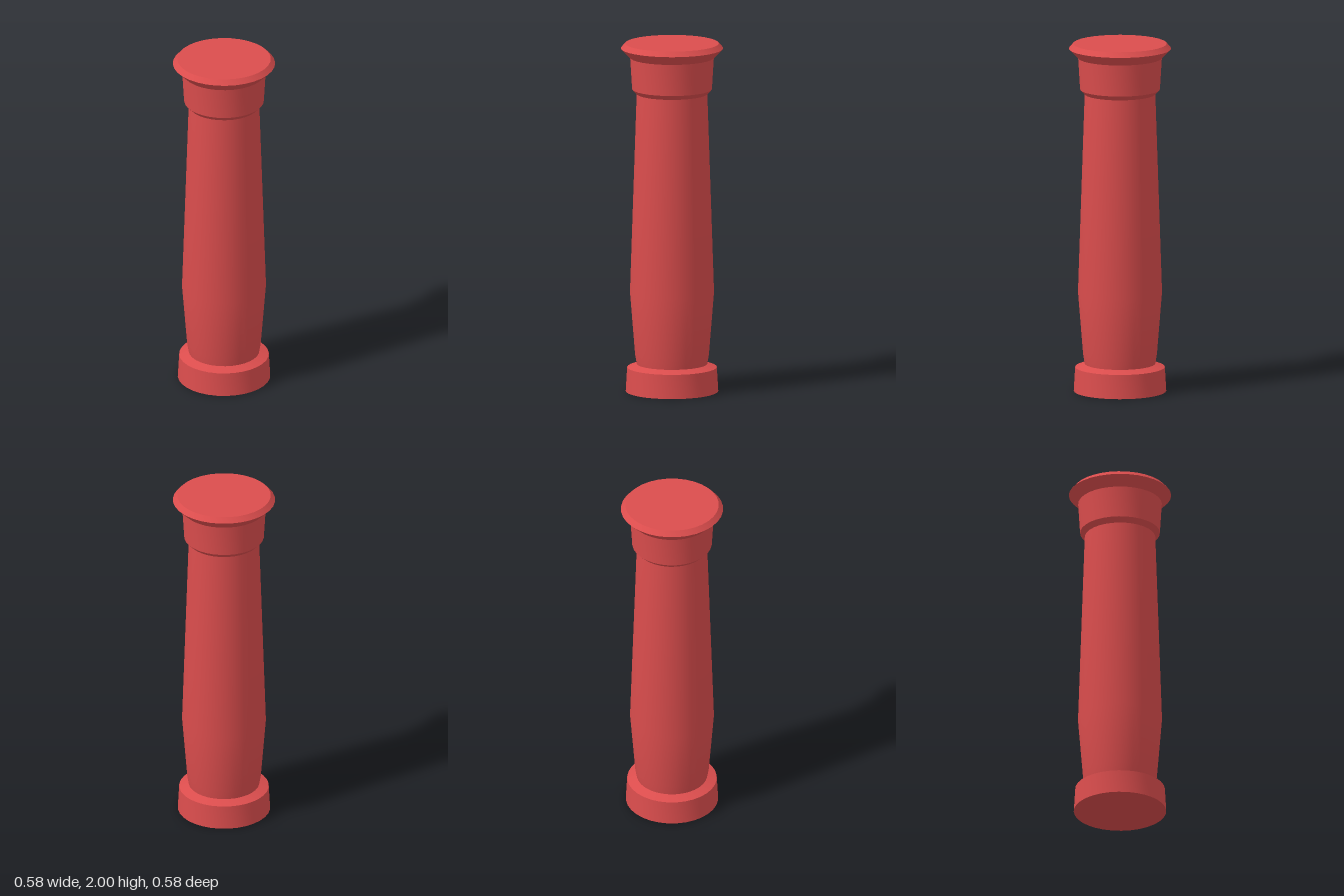
import * as THREE from 'three';
import { toCreasedNormals } from 'three/addons/utils/BufferGeometryUtils.js';

const SIDES = 32;

export function createModel() {
  const group = new THREE.Group();
  group.name = 'column';
  const material = new THREE.MeshStandardMaterial({ color: 0xdb4d4d });

  // Turn a [radius, height] profile, listed bottom to top, about the y axis
  function addTurned(name, profile) {
    const points = profile.map(([r, y]) => new THREE.Vector2(r, y));
    const geometry = toCreasedNormals(new THREE.LatheGeometry(points, SIDES), Math.PI / 7);
    const mesh = new THREE.Mesh(geometry, material);
    mesh.name = name;
    group.add(mesh);
  }

  // Round plinth with a closed underside and a sloped top
  addTurned('base', [[0, 0], [0.262, 0], [0.254, 0.138], [0.2, 0.157]]);

  // Shaft, swelling in its lower third
  addTurned('shaft', [[0.2, 0.157], [0.209, 0.21], [0.238, 0.57], [0.2, 1.71]]);

  // Capital: bevelled collar, flared neck and bevelled cap
  addTurned('capital', [
    [0.2, 1.71], [0.226, 1.737], [0.237, 1.918], [0.29, 1.972], [0.265, 2], [0, 2],
  ]);

  return group;
}
